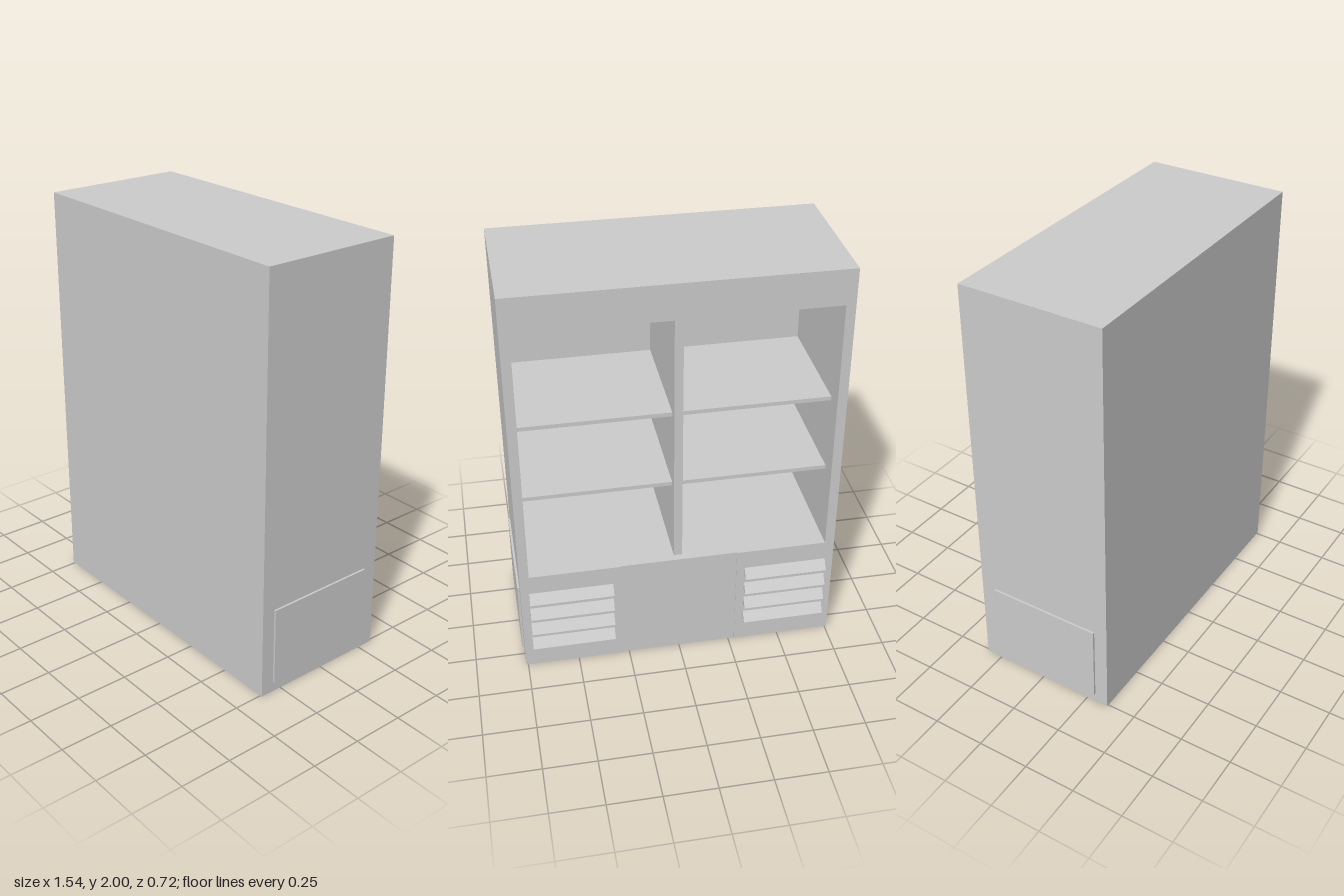
import * as THREE from 'three';

const material = new THREE.MeshStandardMaterial({ color: 0xcccccc, flatShading: true });

// Outer and inner limits of the cabinet
const W = 0.76, INNER = 0.715, BACK = -0.33, FRONT = 0.36, WALL = 0.33;
const H = 2, FLOOR = 0.545, CEILING = 1.83;

// Box given by its limits on each axis
function slab(parent, name, [x0, x1], [y0, y1], [z0, z1]) {
  const mesh = new THREE.Mesh(new THREE.BoxGeometry(x1 - x0, y1 - y0, z1 - z0), material);
  mesh.position.set((x0 + x1) / 2, (y0 + y1) / 2, (z0 + z1) / 2);
  mesh.name = name;
  parent.add(mesh);
  return mesh;
}

// Wedge-shaped louver, centred on x, sloping down and away from the wall
function louverGeometry(width, height, depth) {
  const profile = new THREE.Shape();
  profile.moveTo(0, 0);
  profile.lineTo(depth, 0);
  profile.lineTo(0, height);
  profile.closePath();
  const geometry = new THREE.ExtrudeGeometry(profile, { depth: width, bevelEnabled: false });
  geometry.translate(0, 0, -width / 2);
  geometry.rotateY(Math.PI / 2);
  return geometry;
}

export function createModel() {
  const cabinet = new THREE.Group();
  cabinet.name = 'cabinet';

  // Closed shell: plain front panel, top and slightly recessed centre of the base
  slab(cabinet, 'frontPanel', [-W, W], [0, H], [WALL, FRONT]);
  slab(cabinet, 'top', [-W, W], [CEILING, H], [BACK, WALL]);
  slab(cabinet, 'baseCentre', [-0.28, 0.28], [0, FLOOR], [BACK + 0.004, WALL]);

  // Central divider set back from the opening
  slab(cabinet, 'divider', [-0.02, 0.02], [FLOOR, CEILING], [BACK + 0.04, WALL]);

  const louver = louverGeometry(0.4, 0.047, 0.034);
  for (const side of [-1, 1]) {
    const span = (a, b) => (side > 0 ? [a, b] : [-b, -a]);
    const half = new THREE.Group();
    half.name = side > 0 ? 'leftHalf' : 'rightHalf';
    cabinet.add(half);

    // Side wall, base block and raised access panel
    slab(half, 'sideWall', span(INNER, W), [FLOOR, CEILING], [BACK, WALL]);
    slab(half, 'baseBlock', span(0.28, W), [0, FLOOR], [BACK, WALL]);
    slab(half, 'accessPanel', span(W, 0.77), [0.05, 0.43], [-0.257, 0.295]);

    // Two shelves in each compartment
    for (const y of [0.94, 1.32]) {
      slab(half, 'shelf', span(0.02, INNER), [y - 0.02, y], [-0.24, WALL]);
    }

    // Vent louvers
    for (let i = 0; i < 4; i++) {
      const vent = new THREE.Mesh(louver, material);
      vent.name = 'louver';
      vent.position.set(side * 0.52, 0.125 + i * 0.0917, BACK);
      half.add(vent);
    }
  }
  return cabinet;
}
